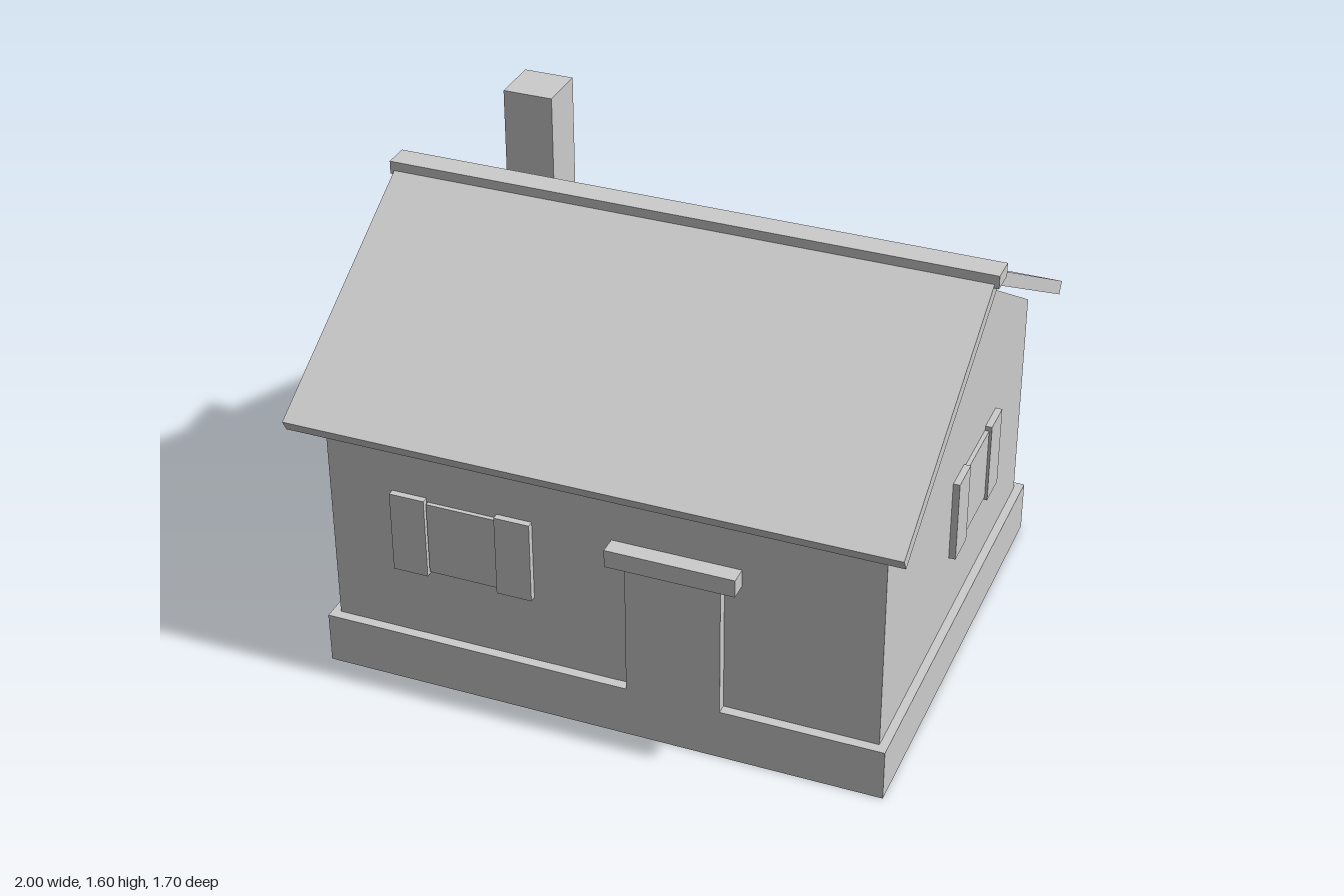
import * as THREE from 'three';

export function createModel() {
  const house = new THREE.Group();
  house.name = 'cottage';
  const grey = new THREE.MeshStandardMaterial({ color: 0xcccccc });
  grey.name = 'plain grey';

  const add = (name, geometry, parent = house) => {
    const mesh = new THREE.Mesh(geometry, grey);
    mesh.name = name;
    parent.add(mesh);
    return mesh;
  };

  // Box given by its lower and upper limits on each axis
  const box = (name, [x0, x1], [y0, y1], [z0, z1], parent) => {
    const mesh = add(name, new THREE.BoxGeometry(x1 - x0, y1 - y0, z1 - z0), parent);
    mesh.position.set((x0 + x1) / 2, (y0 + y1) / 2, (z0 + z1) / 2);
    return mesh;
  };

  // Gable profile of [z, y] points, extruded along x
  const gable = (name, points, length) => {
    const shape = new THREE.Shape(points.map(([z, y]) => new THREE.Vector2(z, y)));
    const geometry = new THREE.ExtrudeGeometry(shape, { depth: length, bevelEnabled: false });
    geometry.translate(0, 0, -length / 2).rotateY(-Math.PI / 2);
    return add(name, geometry);
  };

  // Foundation and walls
  box('foundation', [-0.933, 0.933], [0, 0.175], [-0.768, 0.768]);
  gable('walls', [[-0.735, 0.17], [0.735, 0.17], [0.735, 0.92], [0, 1.375], [-0.735, 0.92]], 1.81);

  // Roof slabs, with a small gap above the gables, and ridge cap
  gable('roof', [
    [0.829, 0.906], [0.851, 0.945], [0, 1.434], [-0.851, 0.945], [-0.829, 0.906], [0, 1.384],
  ], 1.972);
  box('ridgeCap', [-1, 1], [1.396, 1.44], [-0.043, 0.043]);
  box('chimney', [-0.735, -0.568], [0.95, 1.6], [-0.422, -0.255]);

  // Door with lintel
  box('door', [0.097, 0.405], [0.17, 0.64], [0.72, 0.768]);
  box('lintel', [0.042, 0.46], [0.64, 0.7], [0.72, 0.793]);

  // Shuttered windows, built facing +z and turned onto their walls
  const addWindow = (name, x, z, turn) => {
    const group = new THREE.Group();
    group.name = name;
    box('pane', [-0.114, 0.114], [0.43, 0.683], [-0.01, 0.014], group);
    for (const side of [-1, 1]) {
      const edges = [side * 0.118, side * 0.235].sort((a, b) => a - b);
      box('shutter', edges, [0.416, 0.697], [-0.01, 0.022], group);
    }
    group.position.set(x, 0, z);
    group.rotation.y = turn;
    house.add(group);
  };
  addWindow('frontWindow', -0.454, 0.735, 0);
  addWindow('leftWindow', 0.905, -0.167, Math.PI / 2);
  addWindow('rightWindow', -0.905, 0.167, -Math.PI / 2);

  return house;
}
